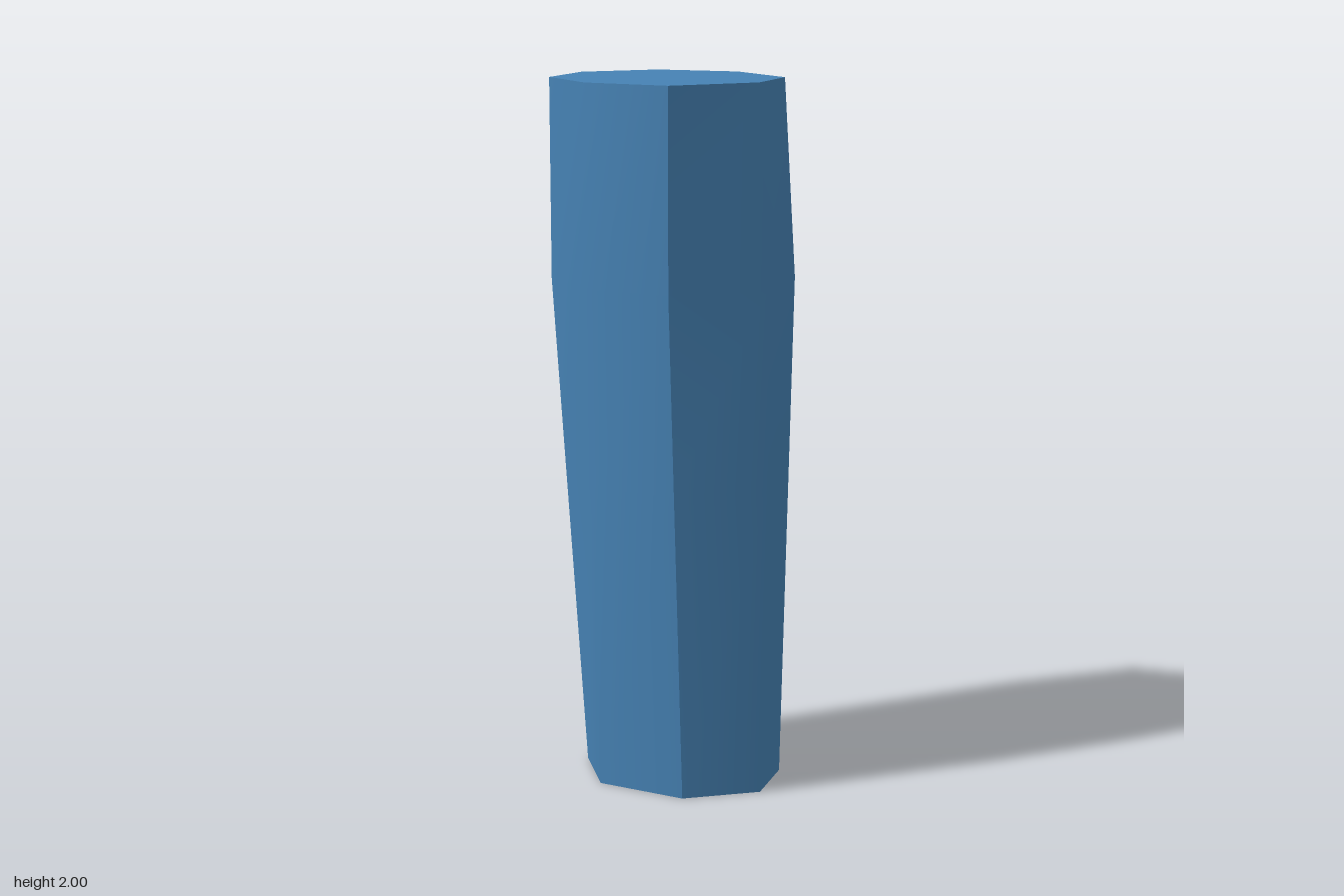
import * as THREE from 'three';

// Octagonal cross-sections [x, z], counter-clockwise from above; odd corners are sharp
const bottom = [[-0.02, -0.28], [-0.187, -0.22], [-0.285, -0.03], [-0.183, 0.215],
  [0.022, 0.313], [0.183, 0.212], [0.22, -0.05], [0.165, -0.22]];
const shoulder = [[-0.1, -0.337], [-0.291, -0.232], [-0.34, -0.008], [-0.24, 0.226],
  [0.026, 0.325], [0.255, 0.18], [0.339, -0.076], [0.174, -0.28]];
const top = [[-0.1, -0.339], [-0.292, -0.232], [-0.34, -0.008], [-0.24, 0.226],
  [0.026, 0.287], [0.207, 0.185], [0.25, -0.066], [0.125, -0.274]];
const SHOULDER_Y = 1.44, BELLY_Y = 0.88;

// Straight blend between bottom and shoulder, bulging at the front corner
const belly = bottom.map(([x, z], i) => {
  const t = BELLY_Y / SHOULDER_Y;
  return [x + (shoulder[i][0] - x) * t, i === 4 ? 0.337 : z + (shoulder[i][1] - z) * t];
});

const rings = [[0, bottom], [BELLY_Y, belly], [SHOULDER_Y, shoulder], [2, top]];

function geometryFrom(positions, index) {
  const g = new THREE.BufferGeometry();
  g.setAttribute('position', new THREE.Float32BufferAttribute(positions, 3));
  g.setIndex(index);
  g.computeVertexNormals();
  return g;
}

// Smooth side panel spanning two faces between sharp corners
function panelGeometry(start) {
  const pos = [], index = [];
  for (const [y, ring] of rings) {
    for (let c = 0; c < 3; c++) {
      const [x, z] = ring[(start + c) % 8];
      pos.push(x, y, z);
    }
  }
  for (let r = 0; r < rings.length - 1; r++) {
    for (let c = 0; c < 2; c++) {
      const a = r * 3 + c, d = a + 3;
      index.push(a, a + 1, d + 1, a, d + 1, d);
    }
  }
  return geometryFrom(pos, index);
}

// Flat end cap as a fan
function capGeometry(ring, y, up) {
  const index = [];
  for (let i = 1; i < 7; i++) index.push(0, up ? i : i + 1, up ? i + 1 : i);
  return geometryFrom(ring.flatMap(([x, z]) => [x, y, z]), index);
}

export function createModel() {
  const group = new THREE.Group();
  group.name = 'post';
  const material = new THREE.MeshStandardMaterial({ color: 0x4682b4 });
  const add = (name, geometry) => {
    const mesh = new THREE.Mesh(geometry, material);
    mesh.name = name;
    group.add(mesh);
  };
  ['rightPanel', 'frontPanel', 'leftPanel', 'backPanel']
    .forEach((name, i) => add(name, panelGeometry(1 + i * 2)));
  add('topCap', capGeometry(top, 2, true));
  add('bottomCap', capGeometry(bottom, 0, false));
  return group;
}
